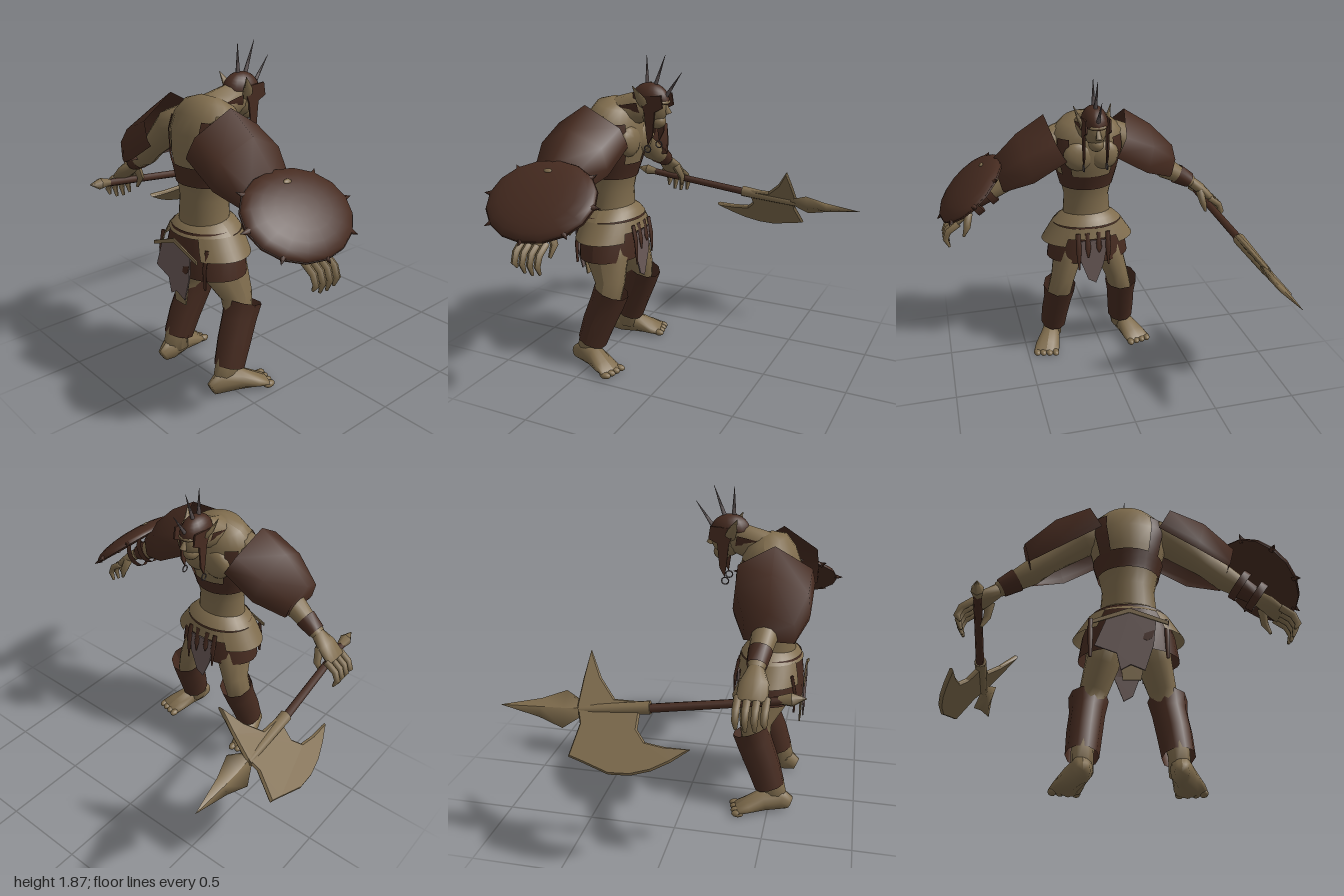
import * as THREE from 'three';

const V = (x, y, z) => new THREE.Vector3(x, y, z);
const CX = 0.065; // the body's own mid-plane

const material = (name, color) => new THREE.MeshStandardMaterial({ name, color, side: THREE.DoubleSide });

// Surface through elliptical sections [x, y, z, ra, rb]; rb runs along ref, ra across it.
function limb(pts, { n = 12, ref = V(0, 0, 1), a0 = 0, a1 = Math.PI * 2, cap = true } = {}) {
  const pos = [], idx = [], c = pts.map(p => V(p[0], p[1], p[2]));
  const last = pts.length - 1, w = n + 1;
  pts.forEach((p, i) => {
    const t = c[Math.min(i + 1, last)].clone().sub(c[Math.max(i - 1, 0)]).normalize();
    const B = ref.clone().addScaledVector(t, -ref.dot(t)).normalize();
    const A = B.clone().cross(t);
    for (let j = 0; j <= n; j++) {
      const a = a0 + (a1 - a0) * j / n;
      pos.push(...c[i].clone().addScaledVector(A, Math.cos(a) * p[3]).addScaledVector(B, Math.sin(a) * p[4]).toArray());
    }
  });
  for (let i = 0; i < last; i++) for (let j = 0; j < n; j++) {
    const a = i * w + j, b = a + w;
    idx.push(a, a + 1, b + 1, a, b + 1, b);
  }
  if (cap) {
    const k = pos.length / 3, e = last * w;
    pos.push(...c[0].toArray(), ...c[last].toArray());
    for (let j = 0; j < n; j++) idx.push(k, j + 1, j, k + 1, e + j, e + j + 1);
  }
  const g = new THREE.BufferGeometry();
  g.setAttribute('position', new THREE.Float32BufferAttribute(pos, 3));
  g.setIndex(idx);
  g.computeVertexNormals();
  return g;
}

// Flat outline given thickness, then laid onto the axes X, Y.
function plate(points, depth, X, Y, origin, bevel = 0) {
  const shape = new THREE.Shape(points.map(p => new THREE.Vector2(p[0], p[1])));
  const g = new THREE.ExtrudeGeometry(shape, {
    depth, bevelEnabled: bevel > 0, bevelThickness: bevel, bevelSize: 0.008, bevelOffset: -0.008, bevelSegments: 1
  });
  g.translate(0, 0, -depth / 2);
  g.applyMatrix4(new THREE.Matrix4().makeBasis(X, Y, X.clone().cross(Y)).setPosition(origin));
  return g;
}

// Tapered rod between two points.
function rod(a, b, r0, r1, n = 8) {
  const d = b.clone().sub(a);
  const g = new THREE.CylinderGeometry(r1, r0, d.length(), n);
  g.applyQuaternion(new THREE.Quaternion().setFromUnitVectors(V(0, 1, 0), d.normalize()));
  const m = a.clone().add(b).multiplyScalar(0.5);
  return g.translate(m.x, m.y, m.z);
}

function ball(x, y, z, rx, ry, rz) {
  return new THREE.SphereGeometry(1, 14, 10).scale(rx, ry, rz).translate(x, y, z);
}

export function createModel() {
  const root = new THREE.Group();
  const skin = material('tan skin and bone', 0x7f6c4d);
  const leather = material('brown leather', 0x462b20);
  const cloth = material('grey cloth', 0x6b5b58);
  const iron = material('dark iron', 0x5a5050);
  const add = (name, geo, mat) => {
    const m = new THREE.Mesh(geo, mat);
    m.name = name;
    root.add(m);
  };

  // Torso sections: y, z, half width, half depth
  const T = [[0.78, 0.46, 0.17, 0.14], [0.95, 0.47, 0.152, 0.13], [1.08, 0.465, 0.142, 0.125], [1.18, 0.46, 0.162, 0.14],
    [1.3, 0.45, 0.195, 0.17], [1.42, 0.435, 0.225, 0.175], [1.51, 0.425, 0.215, 0.15], [1.575, 0.41, 0.15, 0.115], [1.605, 0.4, 0.06, 0.05]];
  const section = (y, off = 0) => {
    const i = Math.max(1, T.findIndex(r => r[0] >= y)), a = T[i - 1], b = T[i];
    const k = (y - a[0]) / (b[0] - a[0]), f = j => a[j] + (b[j] - a[j]) * k;
    return [CX, y, f(1), f(2) + off, f(3) + off];
  };
  add('torso', limb(T.map(r => section(r[0])), { n: 24 }), skin);

  // Chest harness
  add('chestBand', limb([1.16, 1.18, 1.22, 1.26].map(y => section(y, 0.009)), { n: 24, cap: false }), leather);
  for (const mid of [0.82, Math.PI - 0.82, -0.75, Math.PI + 0.75])
    add('harnessStrap', limb([1.25, 1.3, 1.36, 1.42, 1.5].map(y => section(y, 0.01)),
      { n: 5, a0: mid - 0.2, a1: mid + 0.2, cap: false }), leather);
  for (const s of [-1, 1]) add('chestMuscle', ball(CX + s * 0.075, 1.38, 0.3, 0.095, 0.09, 0.048), skin);

  // Neck and head
  const X = V(1, 0, 0);
  add('neck', limb([[CX, 1.5, 0.46, 0.1, 0.13], [CX, 1.535, 0.37, 0.095, 0.1], [CX, 1.565, 0.28, 0.09, 0.072],
    [CX, 1.575, 0.2, 0.07, 0.06]], { ref: X }), skin);
  add('head', ball(CX, 1.575, 0.19, 0.064, 0.105, 0.095), skin);
  add('jaw', ball(CX, 1.495, 0.16, 0.046, 0.045, 0.052), skin);
  add('nose', rod(V(CX, 1.6, 0.11), V(CX, 1.54, 0.085), 0.008, 0.02, 6), skin);
  add('brow', ball(CX, 1.605, 0.11, 0.05, 0.016, 0.025), skin);

  // Helmet with neck guard, spikes and cheek flaps
  const dome = new THREE.SphereGeometry(1, 16, 8, 0, Math.PI * 2, 0, Math.PI / 2).scale(0.077, 0.1, 0.115);
  add('helmetDome', dome.rotateX(-0.15).translate(CX, 1.61, 0.2), leather);
  add('helmetNeckGuard', limb([[CX, 1.6, 0.25, 0.095, 0.078], [CX, 1.58, 0.36, 0.07, 0.085]],
    { ref: X, a0: -1.6, a1: 1.6, cap: false }), leather);
  for (const [y0, z0, y1, z1] of [[1.69, 0.22, 1.86, 0.22], [1.68, 0.175, 1.865, 0.105], [1.62, 0.115, 1.775, 0.005]])
    add('helmetSpike', rod(V(CX, y0, z0), V(CX, y1, z1), 0.014, 0.001, 6), iron);
  const flap = [[0.24, 1.64], [0.1, 1.65], [0.09, 1.58], [0.14, 1.555], [0.155, 1.42], [0.185, 1.365], [0.195, 1.44], [0.205, 1.55]];
  for (const s of [-1, 1]) {
    const x = CX + s * 0.07;
    add('cheekFlap', plate(flap, 0.01, V(0, 0, 1), V(0, 1, 0), V(x, 0, 0)), leather);
    add('flapRing', new THREE.TorusGeometry(0.02, 0.004, 5, 12).rotateY(Math.PI / 2).translate(x, 1.343, 0.188), iron);
    add('ear', limb([[CX + s * 0.055, 1.58, 0.205, 0.015, 0.035], [CX + s * 0.085, 1.63, 0.225, 0.012, 0.03],
      [CX + s * 0.11, 1.7, 0.255, 0.002, 0.002]], { n: 6 }), skin);
  }

  // Skirt and loincloths
  add('skirt', limb([[CX, 0.925, 0.465, 0.2, 0.17], [CX, 0.8, 0.465, 0.245, 0.188], [CX, 0.67, 0.465, 0.265, 0.19]], { n: 28, cap: false }), leather);
  add('waistHide', limb([[CX, 0.965, 0.47, 0.15, 0.128], [CX, 0.94, 0.467, 0.185, 0.16], [CX, 0.905, 0.465, 0.22, 0.182]], { n: 28, cap: false }), skin);
  const hip = [[CX, 0.905, 0.465, 0.22, 0.182], [CX, 0.84, 0.465, 0.262, 0.2], [CX, 0.79, 0.465, 0.295, 0.207]];
  for (const a of [0, Math.PI])
    add('hipHide', limb(hip, { n: 12, a0: a - 0.95, a1: a + 0.95, cap: false }), skin);
  add('frontHide', limb(hip.slice(0, 2), { n: 10, a0: Math.PI + 0.95, a1: Math.PI * 2 - 0.95, cap: false }), skin);
  const Y = V(0, 1, 0);
  add('backLoincloth', plate([[-0.06, 0.82], [0.055, 0.855], [0.19, 0.82], [0.175, 0.68], [0.13, 0.54], [0.06, 0.57],
    [0.01, 0.54], [-0.01, 0.63], [-0.12, 0.67]], 0.008, X, Y, V(0, 0, 0.664)), cloth);
  add('clothPatch', plate([[0.12, 0.71], [0.13, 0.74], [0.18, 0.76], [0.17, 0.72], [0.145, 0.7]], 0.004, X, Y, V(0, 0, 0.668)), leather);
  add('backTrim', plate([[-0.13, 0.79], [0.055, 0.855], [0.25, 0.79], [0.25, 0.81], [0.055, 0.88], [-0.13, 0.81]], 0.008, X, Y, V(0, 0, 0.669)), skin);
  add('backUnderCloth', plate([[0, 0.68], [0.02, 0.495], [0.11, 0.495], [0.15, 0.68]], 0.008, X, Y, V(0, 0, 0.645)), skin);
  add('frontLoincloth', plate([[-0.03, 0.83], [0.16, 0.83], [0.15, 0.7], [0.1, 0.56], [0.05, 0.53], [0, 0.66]], 0.008, X, Y, V(0, 0, 0.272)), cloth);
  for (const [x, y] of [[-0.03, 0.66], [0.03, 0.75], [0.1, 0.72], [0.16, 0.64]])
    add('frontStrip', limb([[x, 0.88, 0.28, 0.015, 0.01], [x, 0.78, 0.262, 0.018, 0.01], [x, y, 0.258, 0.005, 0.004]], { n: 6 }), leather);
  for (const x of [-0.14, 0.25])
    add('backStrip', limb([[x, 0.85, 0.6, 0.012, 0.01], [x, 0.75, 0.62, 0.014, 0.01], [x, 0.63, 0.62, 0.009, 0.006]], { n: 6 }), leather);

  for (const s of [-1, 1]) {
    const side = pts => pts.map(([o, ...r]) => [CX + s * o, ...r]);
    // Leg, greave and foot
    add('leg', limb(side([[0.11, 0.84, 0.46, 0.1, 0.14], [0.14, 0.66, 0.435, 0.09, 0.135], [0.18, 0.53, 0.4, 0.075, 0.095],
      [0.205, 0.42, 0.41, 0.075, 0.085], [0.235, 0.16, 0.52, 0.055, 0.072], [0.235, 0.06, 0.53, 0.055, 0.085]])), skin);
    add('greave', limb(side([[0.205, 0.495, 0.375, 0.105, 0.108], [0.212, 0.4, 0.41, 0.092, 0.105], [0.225, 0.28, 0.46, 0.09, 0.1],
      [0.235, 0.15, 0.505, 0.084, 0.09]]), { n: 10, cap: false }), leather);
    add('foot', limb(side([[0.23, 0.045, 0.628, 0.04, 0.035], [0.235, 0.07, 0.57, 0.07, 0.054], [0.265, 0.065, 0.47, 0.065, 0.063],
      [0.3, 0.038, 0.38, 0.038, 0.08], [0.32, 0.022, 0.32, 0.02, 0.082]]), { ref: X }), skin);
    [0.26, 0.3, 0.34, 0.378].forEach((o, i) => add('toe', ball(CX + s * o, 0.02, 0.305 + i * 0.01, 0.023, 0.02, 0.036), skin));

    // Arm, wrist wrap and hand
    add('arm', limb(side([[0.13, 1.47, 0.45, 0.09, 0.1], [0.27, 1.41, 0.46, 0.095, 0.1], [0.44, 1.26, 0.475, 0.065, 0.07],
      [0.53, 1.19, 0.47, 0.068, 0.07], [0.7, 1.09, 0.455, 0.04, 0.045]])), skin);
    add('wristWrap', limb(side([[0.6, 1.15, 0.463, 0.064, 0.064], [0.685, 1.1, 0.456, 0.05, 0.053]]), { cap: false }), leather);
    add('palm', limb(side([[0.69, 1.095, 0.455, 0.035, 0.04], [0.76, 1.04, 0.455, 0.035, 0.075], [0.83, 0.975, 0.455, 0.025, 0.08]])), skin);
    for (let i = 0; i < 4; i++) {
      const z = 0.385 + i * 0.047, d = [0.01, 0, 0.005, 0.03][i];
      add('finger', limb(side([[0.81, 0.985, z, 0.02, 0.021], [0.875, 0.94, z, 0.02, 0.02], [0.895, 0.89, z, 0.018, 0.018],
        [0.875, 0.83 + d, z, 0.008, 0.009]]), { n: 7 }), skin);
    }
    add('thumb', limb(side([[0.745, 1.04, 0.405, 0.028, 0.028], [0.76, 0.965, 0.37, 0.021, 0.022], [0.785, 0.9, 0.385, 0.008, 0.01]]), { n: 7 }), skin);

    // Faceted shoulder guard: arched sections sweeping down the arm
    const arch = [[0.25, 1.6, 1.48, 1.39, 1.36, 0.48, 0.215, 0.1], [0.42, 1.49, 1.4, 1.28, 1.24, 0.485, 0.205, 0.07], [0.575, 1.335, 1.28, 1.19, 1.17, 0.495, 0.135, 0.05]];
    const pos = [], idx = [];
    for (const [o, top, mid, low, hem, z, r, inset] of arch) {
      [[0, hem, -0.97], [0.2, low, -1], [0.65, mid, -0.93], [1, top, 0], [0.65, mid, 0.93], [0.2, low, 1], [0, hem, 0.97]]
        .forEach(([k, y, w]) => pos.push(CX + s * (o - inset * (1 - k)), y, z + w * r));
    }
    for (let i = 0; i < 2; i++) for (let j = 0; j < 6; j++) {
      const a = i * 7 + j, b = a + 7;
      if (s > 0) idx.push(a, a + 1, b + 1, a, b + 1, b);
      else idx.push(a, b + 1, a + 1, a, b, b + 1);
    }
    for (let j = 1; j < 6; j++) { // outer end
      if (s > 0) idx.push(14, 14 + j, 15 + j); else idx.push(14, 15 + j, 14 + j);
    }
    const pad = new THREE.BufferGeometry();
    pad.setAttribute('position', new THREE.Float32BufferAttribute(pos, 3));
    pad.setIndex(idx);
    pad.computeVertexNormals();
    add('shoulderGuard', pad, leather);
  }

  // Shield with rim spikes, boss and arm straps
  const shield = new THREE.Group();
  shield.name = 'shield';
  shield.position.set(0.78, 1.175, 0.47);
  shield.rotation.z = -0.71;
  root.add(shield);
  const put = (name, g, m) => { const k = new THREE.Mesh(g, m); k.name = name; shield.add(k); };
  put('shieldFace', new THREE.SphereGeometry(1, 16, 6, 0, Math.PI * 2, 0, Math.PI / 2).scale(0.255, 0.075, 0.325), leather);
  put('shieldBack', new THREE.CylinderGeometry(1, 1, 0.01, 16).scale(0.255, 1, 0.325), leather);
  put('shieldBoss', ball(-0.15, 0.06, 0, 0.014, 0.008, 0.024), skin);
  for (let i = 0; i < 8; i++) {
    const a = i * Math.PI / 4, c = Math.cos(a), d = Math.sin(a);
    put('rimSpike', rod(V(c * 0.235, 0.005, d * 0.31), V(c * 0.28, 0.005, d * 0.36), 0.018, 0.001, 6), leather);
  }
  for (const [x, y] of [[0.68, 1.15], [0.77, 1.085]])
    add('shieldStrap', limb([[x - 0.018, y + 0.012, 0.462, 0.09, 0.075], [x + 0.018, y - 0.012, 0.46, 0.09, 0.075]], { cap: false }), leather);

  // Halberd: haft, socket, blade with back spike, spear point
  add('haft', rod(V(-0.72, 0.975, 0.62), V(-0.775, 0.885, -0.08), 0.022, 0.024), leather);
  add('pommelCollar', rod(V(-0.721, 0.973, 0.58), V(-0.718, 0.98, 0.645), 0.022, 0.036, 6), skin);
  add('pommelPoint', rod(V(-0.718, 0.98, 0.645), V(-0.713, 0.99, 0.715), 0.036, 0.002, 6), skin);
  add('socket', rod(V(-0.77, 0.892, -0.05), V(-0.79, 0.85, -0.42), 0.036, 0.026), skin);
  const U = V(0.648, 0.762, 0).normalize(), Z = V(0, 0, 1), hub = V(-0.785, 0.87, 0);
  const toBlade = p => p.map(([z, y]) => [z, (y - 0.87) / 0.762]);
  add('axeBlade', plate(toBlade([[-0.1, 0.91], [-0.24, 0.91], [-0.33, 0.99], [-0.41, 1.1], [-0.425, 0.98], [-0.43, 0.87], [-0.4, 0.8],
    [-0.43, 0.67], [-0.36, 0.655], [-0.21, 0.62], [-0.1, 0.625], [0, 0.65], [0.09, 0.69], [0.18, 0.745], [0.05, 0.745],
    [-0.05, 0.755], [-0.1, 0.8]]), 0.004, Z, U, hub, 0.012), skin);
  const tip = [[-0.78, 0.855, -0.39, 0.03], [-0.786, 0.845, -0.5, 0.1], [-0.79, 0.842, -0.63, 0.05], [-0.797, 0.84, -0.845, 0.001]];
  add('spearPoint', limb(tip.map(([x, y, z, r]) => [x, y, z, Math.min(r, 0.018), r]), { n: 4, ref: U }), skin);

  return root;
}
